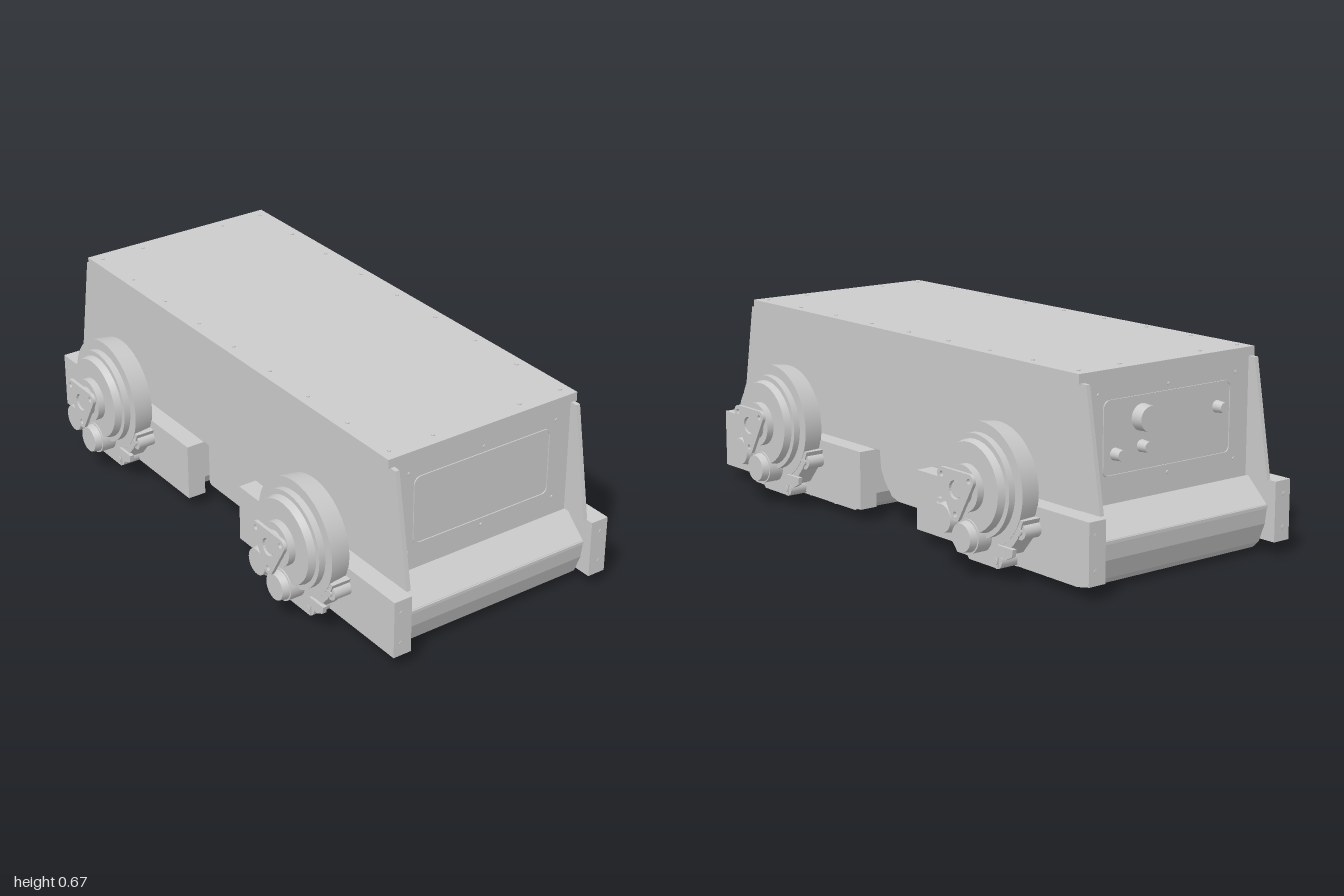
import * as THREE from 'three';

const material = new THREE.MeshStandardMaterial({ color: 0xcccccc });

function add(parent, name, geometry, x = 0, y = 0, z = 0) {
  const mesh = new THREE.Mesh(geometry, material);
  mesh.name = name;
  mesh.position.set(x, y, z);
  parent.add(mesh);
  return mesh;
}

const box = (w, h, d) => new THREE.BoxGeometry(w, h, d);

// Cylinder along z, from z0 to z1
function disc(parent, name, r0, r1, z0, z1, x = 0, y = 0, sides = 40) {
  const g = new THREE.CylinderGeometry(r1, r0, z1 - z0, sides).rotateX(Math.PI / 2);
  return add(parent, name, g, x, y, (z0 + z1) / 2);
}

// Profile in x and y, extruded along z
function slab(points, z0, z1) {
  const shape = new THREE.Shape(points.map(p => new THREE.Vector2(...p)));
  return new THREE.ExtrudeGeometry(shape, { depth: z1 - z0, bevelEnabled: false }).translate(0, 0, z0);
}

function roundedRect(w, h, r, Type = THREE.Shape) {
  const s = new Type();
  s.absarc(w / 2 - r, h / 2 - r, r, 0, Math.PI / 2);
  s.absarc(-w / 2 + r, h / 2 - r, r, Math.PI / 2, Math.PI);
  s.absarc(-w / 2 + r, -h / 2 + r, r, Math.PI, Math.PI * 1.5);
  s.absarc(w / 2 - r, -h / 2 + r, r, Math.PI * 1.5, Math.PI * 2);
  s.closePath();
  return s;
}

// Three-lobed hub plate with a bore and three bolt holes
function hubPlateGeometry() {
  const s = new THREE.Shape();
  const lobes = [Math.PI / 6, Math.PI * 5 / 6, Math.PI * 1.5];
  lobes.forEach(a => s.absarc(Math.cos(a) * 0.077, Math.sin(a) * 0.077, 0.022, a - Math.PI / 3, a + Math.PI / 3));
  s.closePath();
  const hole = (x, y, r) => s.holes.push(new THREE.Path().absarc(x, y, r, 0, Math.PI * 2, true));
  hole(0, 0, 0.03);
  lobes.forEach(a => hole(Math.cos(a) * 0.077, Math.sin(a) * 0.077, 0.009));
  return new THREE.ExtrudeGeometry(s, { depth: 0.012, bevelEnabled: false, curveSegments: 10 });
}

// Wheel drive, origin on the axle, facing +z
function createDrive() {
  const g = new THREE.Group();
  g.name = 'wheelDrive';
  disc(g, 'wheelRim', 0.19, 0.2, 0.425, 0.497, 0, 0, 56);
  disc(g, 'driveFlange', 0.165, 0.165, 0.497, 0.52);
  disc(g, 'driveCover', 0.148, 0.142, 0.52, 0.545);
  disc(g, 'hub', 0.075, 0.075, 0.545, 0.57);
  disc(g, 'axleBoss', 0.05, 0.05, 0.57, 0.582);
  add(g, 'hubPlate', hubPlateGeometry(), 0, 0, 0.586);
  disc(g, 'axle', 0.026, 0.026, 0.58, 0.592, 0, 0, 20);

  // Housing below the axle with bolted ears
  add(g, 'gearHousing', slab([
    [-0.2, -0.075], [-0.2, -0.13], [-0.165, -0.165], [-0.165, -0.19], [-0.12, -0.24], [-0.07, -0.24],
    [-0.06, -0.25], [0.08, -0.25], [0.08, -0.215], [0.12, -0.2], [0.175, -0.135], [0.2, -0.075],
  ], 0.42, 0.495));
  [[-0.225, -0.112], [0.18, -0.112], [0.068, -0.228]].forEach(([x, y]) => {
    disc(g, 'mountingEar', 0.026, 0.026, 0.42, 0.49, x, y, 20);
    disc(g, 'earBolt', 0.012, 0.012, 0.49, 0.497, x, y, 12);
  });
  add(g, 'earArm', box(0.05, 0.05, 0.07), -0.205, -0.112, 0.455);
  // Motor caps
  [[-0.098, -0.113], [0, -0.155]].forEach(([x, y]) => {
    disc(g, 'motorBody', 0.055, 0.055, 0.47, 0.55, x, y, 28);
    disc(g, 'motorCap', 0.05, 0.045, 0.55, 0.575, x, y, 28);
  });
  add(g, 'sideBracket', slab([[0.09, -0.17], [0.165, -0.17], [0.16, -0.195], [0.13, -0.21], [0.09, -0.195]], 0.49, 0.505));
  return g;
}

function createEndPanel(parent, side) {
  const end = new THREE.Group();
  end.name = 'endPanel';
  end.rotation.y = side * Math.PI / 2;
  parent.add(end);
  // Raised frame around the hatch
  const frame = roundedRect(0.54, 0.24, 0.025);
  frame.holes.push(roundedRect(0.528, 0.228, 0.02, THREE.Path));
  add(end, 'hatchFrame', new THREE.ExtrudeGeometry(frame, { depth: 0.004, bevelEnabled: false }), 0, 0.45, 0.88);
  [[-0.29, 0.59], [0, 0.59], [0.29, 0.59], [-0.29, 0.31], [0, 0.31], [0.29, 0.31]].forEach(([x, y]) =>
    disc(end, 'panelScrew', 0.006, 0.006, 0.878, 0.884, x, y, 8));
  // Controls on one end only
  if (side < 0) {
    disc(end, 'controlKnob', 0.043, 0.04, 0.88, 0.92, -0.11, 0.5, 24);
    [[-0.11, 0.41], [-0.22, 0.4], [0.21, 0.49]].forEach(([x, y]) =>
      disc(end, 'controlButton', 0.02, 0.017, 0.88, 0.915, x, y, 16));
  }
}

export function createModel() {
  const model = new THREE.Group();
  model.name = 'railBogieVehicle';

  // Body between two tapered side walls that stand proud of the end panels
  add(model, 'bodyShell', box(1.76, 0.39, 0.7), 0, 0.44, 0);
  const wall = [[-0.975, 0.247], [0.975, 0.247], [0.907, 0.635], [-0.907, 0.635]];
  add(model, 'frontWall', slab(wall, 0.347, 0.362));
  add(model, 'backWall', slab(wall, -0.362, -0.347));
  add(model, 'lid', box(1.765, 0.032, 0.74), 0, 0.649, 0);
  const screw = new THREE.CylinderGeometry(0.006, 0.006, 0.006, 8);
  for (const z of [-0.335, 0.335])
    for (let i = -4; i <= 4; i++) add(model, 'lidScrew', screw, i * 0.21, 0.665, z);
  for (const x of [-0.84, 0.84])
    for (const z of [-0.17, 0.17]) add(model, 'lidScrew', screw, x, 0.665, z);

  // Rounded trays at both ends
  const tray = [[0.2, 0.25], [0.2, 0.08], [0.235, 0.035], [0.29, 0.006], [0.87, 0.004], [0.91, 0.012],
    [0.935, 0.035], [0.96, 0.1], [0.968, 0.157], [0.965, 0.165], [0.875, 0.25]];
  const trayGeometry = slab(tray, -0.358, 0.358);
  for (const side of [-1, 1]) {
    const end = new THREE.Group();
    end.name = 'endTray';
    end.rotation.y = side < 0 ? Math.PI : 0;
    add(end, 'trayShell', trayGeometry);
    add(end, 'trayLip', box(0.012, 0.01, 0.716), 0.964, 0.158, 0);
    // Shallow seams under the tray
    for (const x of [0.42, 0.57, 0.72]) add(end, 'traySeam', box(0.012, 0.006, 0.7), x, 0.003, 0);
    model.add(end);
    createEndPanel(model, side);
  }

  // Smaller tray in the middle, sloped on one side
  add(model, 'middleTray', slab([[-0.145, 0.25], [-0.145, 0.09], [-0.135, 0.083], [0.05, 0.083], [0.085, 0.095],
    [0.125, 0.14], [0.145, 0.18], [0.152, 0.25]], -0.35, 0.35));

  // Side beams, with a drive on each
  for (const x of [-1, 1]) {
    for (const z of [-1, 1]) {
      add(model, 'sideBeam', box(0.842, 0.2, 0.066), x * 0.579, 0.145, z * 0.394);
      for (const y of [0.09, 0.2])
        add(model, 'beamBolt', new THREE.CylinderGeometry(0.008, 0.008, 0.006, 10).rotateZ(Math.PI / 2), x * 0.999, y, z * 0.4);
      const drive = createDrive();
      drive.position.set(x * 0.577, 0.288, 0);
      drive.rotation.y = z < 0 ? Math.PI : 0;
      model.add(drive);
    }
  }
  return model;
}
